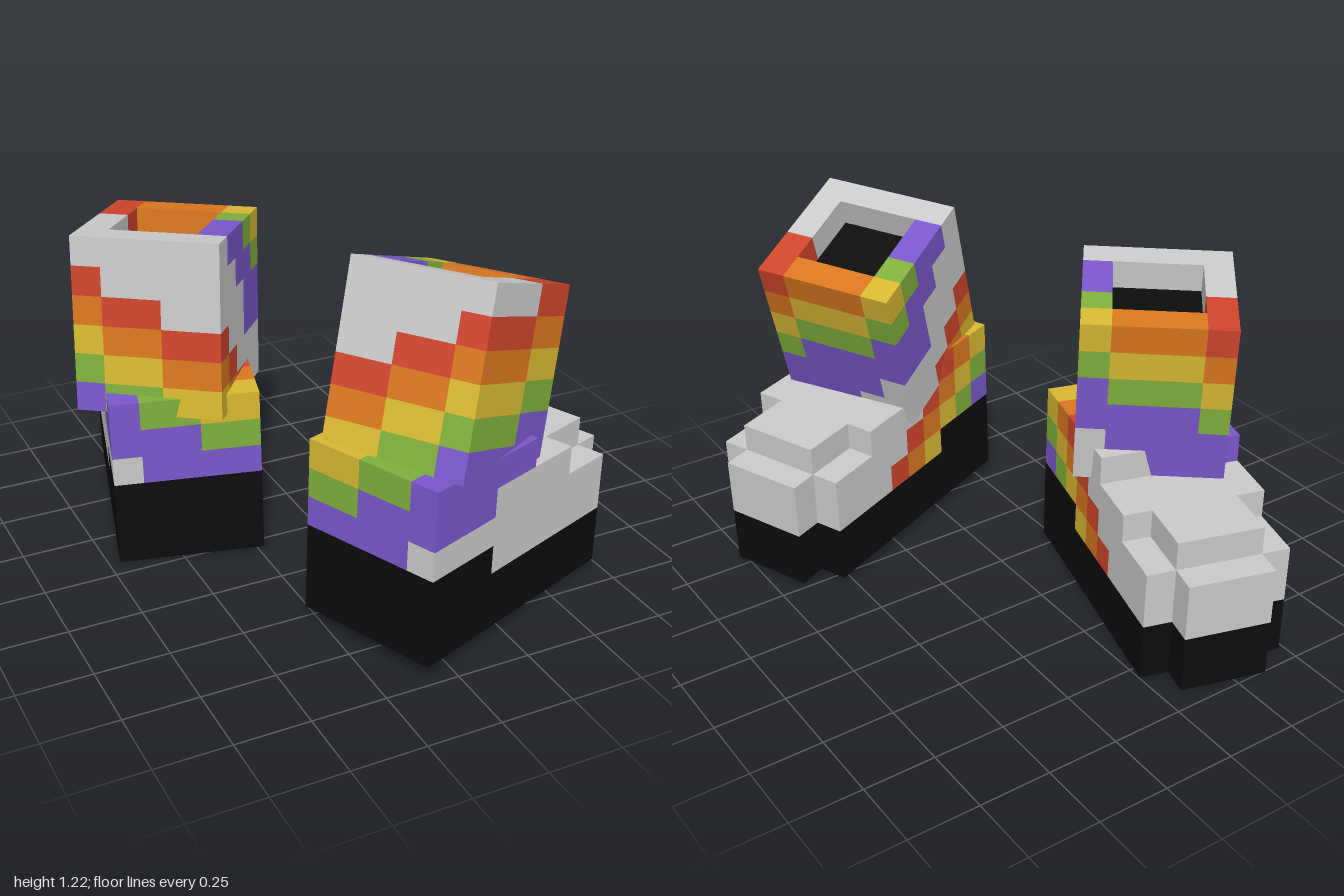
import * as THREE from 'three';
import { mergeGeometries } from 'three/addons/utils/BufferGeometryUtils.js';

const UNIT = 0.1;

// One material per colour, keyed by the letter used in the patterns
const PALETTE = {
  W: ['lightGrey', 0xcacaca], K: ['black', 0x0c0c0c], R: ['red', 0xcf452c],
  O: ['orange', 0xd9771f], Y: ['yellow', 0xd8b932], G: ['green', 0x80b03c],
  P: ['purple', 0x7b57cc],
};

// Shaft patterns, rows from the rim down
const SHAFT_REAR = ['WWWWW', 'RWWWW', 'ORRWW', 'YOORR', 'GYYOO', 'PGGYY'];  // outer to inner
const SHAFT_OUTER = ['WWWRR', 'RRROO', 'OOOYY', 'YYYGG', 'GGGPP', 'PPPPP']; // rear to front
const SHAFT_FRONT = ['ROOOY', 'OYYYG', 'YGGGP', 'GPPPP', 'PPPPW', 'PPPWW']; // outer to inner
const SHAFT_INNER = ['WPPGY', 'WWPPG', 'WWWPP', 'RWWPP', 'ORWWW', 'YORWW']; // rear to front

// Foot patterns, keyed by height
const HEEL = { 3: 'WPPPP', 4: 'PPPGG', 5: 'PGGYY' };                    // outer to inner
const FOOT_INNER = { 2: 'KKKYOR', 3: 'PGYOR', 4: 'GYOR', 5: 'YOR' };    // heel to toe
const FOOT_OUTER = { 4: 'PPP', 5: 'PPPPP' };                            // heel to toe
const SOLE = ['RRR', 'PPP', 'GPP', 'YGP', 'OYG', 'YGG', 'OYY', 'ROY'];  // heel to toe

// Local cells: +x outer side, +y up, +z towards the toe
function shaftCell(x, y, z) {
  const row = -1 - y;
  if (Math.abs(x) < 2 && Math.abs(z) < 2) return row > 0 ? 'K' : null; // dark floor below the rim
  if (z === -2) return SHAFT_REAR[row][2 - x];
  if (z === 2) return SHAFT_FRONT[row][2 - x];
  return x === 2 ? SHAFT_OUTER[row][z + 2] : SHAFT_INNER[row][z + 2];
}

function footCell(x, y, z) {
  const narrow = Math.abs(x) < 2;
  const length = y < 4 ? (narrow ? 10 : 9) : y === 4 ? (narrow ? 9 : 7) : 5;
  if (z >= length) return null;
  if (y === 0 && narrow && z > 0 && z < 9) return SOLE[z - 1][1 - x];
  if (y < 2 || (y === 2 && z < 3)) return 'K';
  if (z === 0) return HEEL[y][2 - x];
  if (x === -2) return FOOT_INNER[y]?.[z] ?? 'W';
  if (x === 2) return FOOT_OUTER[y]?.[z] ?? 'W';
  return y === 5 && x >= 0 ? 'P' : 'W';
}

// The six faces of a unit cell
const FACES = [
  [0, 0, 1, 'Y', 0], [1, 0, 0, 'Y', Math.PI / 2], [0, 0, -1, 'Y', Math.PI],
  [-1, 0, 0, 'Y', -Math.PI / 2], [0, 1, 0, 'X', -Math.PI / 2], [0, -1, 0, 'X', Math.PI / 2],
].map(([x, y, z, axis, angle]) => ({
  x, y, z,
  geometry: new THREE.PlaneGeometry(1, 1).translate(0, 0, 0.5)['rotate' + axis](angle),
}));

// Builds the outer skin of a block of cells, one mesh per colour
function blockPart(name, cellAt, yFrom, zFrom, zTo, side, materials) {
  const cells = new Map();
  for (let x = -2; x <= 2; x++)
    for (let y = yFrom; y < yFrom + 6; y++)
      for (let z = zFrom; z <= zTo; z++) {
        const colour = cellAt(x, y, z);
        if (colour) cells.set([x * side, y, z].join(), { x: x * side, y, z, colour });
      }
  const skins = {};
  for (const c of cells.values())
    for (const f of FACES) {
      if (cells.has([c.x + f.x, c.y + f.y, c.z + f.z].join())) continue;
      (skins[c.colour] ??= []).push(f.geometry.clone().translate(c.x, c.y + 0.5, c.z));
    }
  const part = new THREE.Group();
  part.name = name;
  for (const [key, list] of Object.entries(skins)) {
    const mesh = new THREE.Mesh(mergeGeometries(list), materials[key]);
    mesh.name = `${name} ${materials[key].name}`;
    part.add(mesh);
  }
  return part;
}

// Aims a part along its toe direction and up direction
function place(part, position, forward, up) {
  const z = new THREE.Vector3(...forward);
  const y = new THREE.Vector3(...up).normalize();
  const x = new THREE.Vector3().crossVectors(y, z).normalize();
  z.crossVectors(x, y);
  part.quaternion.setFromRotationMatrix(new THREE.Matrix4().makeBasis(x, y, z));
  part.position.set(...position);
  part.scale.setScalar(UNIT);
  return part;
}

function boot(name, side, foot, shaft, materials) {
  const group = new THREE.Group();
  group.name = name;
  // Foot cells start half a cell in from the heel
  const footPart = place(blockPart('foot', footCell, 0, 0, 9, side, materials), ...foot);
  footPart.children.forEach((mesh) => mesh.geometry.translate(0, 0, 0.5));
  group.add(footPart, place(blockPart('shaft', shaftCell, -6, -2, 2, side, materials), ...shaft));
  return group;
}

export function createModel() {
  const materials = {};
  for (const [key, [name, color]] of Object.entries(PALETTE)) {
    materials[key] = new THREE.MeshStandardMaterial({ color });
    materials[key].name = name;
  }
  const model = new THREE.Group();
  model.name = 'pairOfBoots';
  // Each: heel bottom centre or rim centre, then toe direction and up direction
  model.add(
    boot('frontBoot', -1,
      [[-0.2, 0.06, 0.76], [0.925, -0.033, -0.375], [0.033, 1, -0.013]],
      [[0.24, 1.13, 0.53], [0.83, -0.33, -0.46], [0.267, 0.942, -0.2]], materials),
    boot('backBoot', 1,
      [[-0.47, 0.005, -0.005], [0.26, 0, -0.965], [-0.015, 1, 0]],
      [[-0.4, 1.11, -0.32], [0.31, -0.05, -0.4], [0.046, 0.99, -0.09]], materials),
  );
  return model;
}
